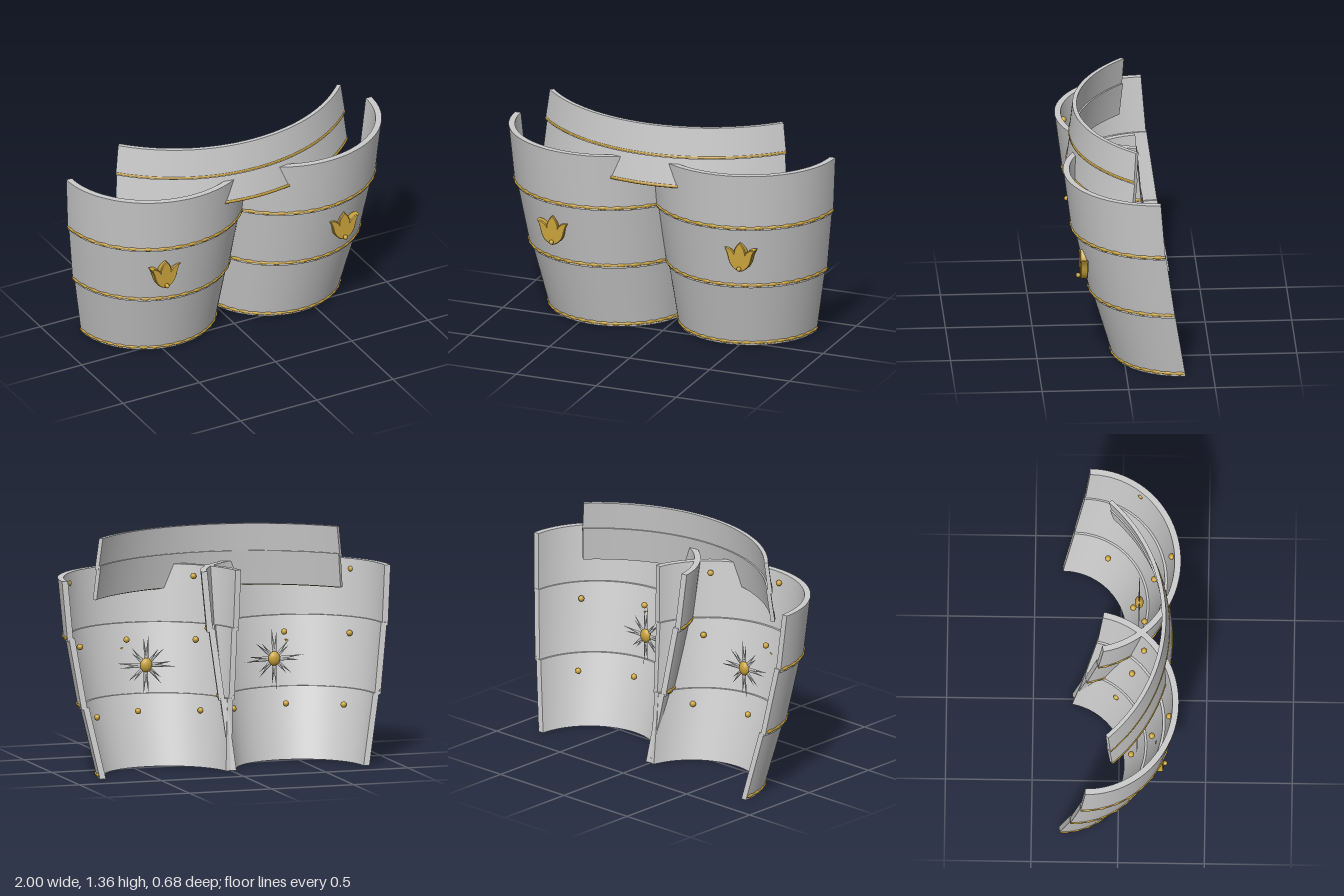
import * as THREE from 'three';
import { toCreasedNormals } from 'three/addons/utils/BufferGeometryUtils.js';

const STEEL = new THREE.MeshStandardMaterial({ color: 0xcccccc });
const GOLD = new THREE.MeshStandardMaterial({ color: 0xc9a23a });

function add(parent, name, geometry, material, x = 0, y = 0, z = 0) {
  const mesh = new THREE.Mesh(geometry, material);
  mesh.name = name;
  mesh.position.set(x, y, z);
  parent.add(mesh);
  return mesh;
}

// A ring is an ellipse at height y; inset shrinks it towards its centre
const onRing = (r, a, inset = 0) => new THREE.Vector3(
  r.cx + (r.rx - inset) * Math.cos(a), r.y, r.cz + (r.rz - inset) * Math.sin(a));

// Ring from its extents: inner x, outer x, back z, front z
const ring = (y, x0, x1, back, front) => ({
  y, cx: (x0 + x1) / 2, rx: (x1 - x0) / 2, cz: back, rz: front - back });

const mix = (a, b, t) => Object.fromEntries(Object.keys(a).map(k => [k, a[k] + (b[k] - a[k]) * t]));

// Curved plate of even thickness between two rings, closed at both ends
function plate(low, high, a0, a1, thick, steps = 48) {
  const pos = [], idx = [];
  for (let i = 0; i <= steps; i++) {
    const a = a0 + (a1 - a0) * i / steps;
    for (const p of [onRing(low, a), onRing(high, a), onRing(high, a, thick), onRing(low, a, thick)])
      pos.push(p.x, p.y, p.z);
    if (i === steps) break;
    for (let j = 0; j < 4; j++) {
      const p = i * 4 + j, q = i * 4 + (j + 1) % 4;
      idx.push(p, q, p + 4, q, q + 4, p + 4);
    }
  }
  const e = steps * 4;
  idx.push(0, 2, 1, 0, 3, 2, e, e + 1, e + 2, e, e + 2, e + 3);
  const g = new THREE.BufferGeometry();
  g.setAttribute('position', new THREE.Float32BufferAttribute(pos, 3));
  g.setIndex(idx);
  return toCreasedNormals(g, 0.6);
}

// Gold cord along a ring, with optional long beads
function trim(parent, name, r, a0, a1, inset, radius, beads = 0) {
  const at = t => onRing(r, a0 + (a1 - a0) * t, inset);
  const pts = Array.from({ length: 33 }, (_, i) => at(i / 32));
  add(parent, name, new THREE.TubeGeometry(new THREE.CatmullRomCurve3(pts), 64, radius, 6), GOLD);
  const bead = new THREE.SphereGeometry(1, 8, 6);
  for (let i = 0; i < beads; i++) {
    const t = (i + 0.5) / beads;
    const p = at(t), d = at(t + 0.01).sub(at(t - 0.01));
    const m = add(parent, name + 'Bead', bead, GOLD, p.x, p.y, p.z);
    m.scale.set(0.033, 0.012, 0.011);
    m.rotation.y = Math.atan2(-d.z, d.x);
  }
}

// Three-petalled flower outline
function flowerGeometry() {
  const s = new THREE.Shape();
  s.moveTo(0, -0.085);
  s.quadraticCurveTo(0.055, -0.07, 0.068, -0.01);
  s.quadraticCurveTo(0.075, 0.03, 0.092, 0.052);
  s.quadraticCurveTo(0.05, 0.05, 0.032, 0.01);
  s.quadraticCurveTo(0.035, 0.05, 0, 0.085);
  s.quadraticCurveTo(-0.035, 0.05, -0.032, 0.01);
  s.quadraticCurveTo(-0.05, 0.05, -0.092, 0.052);
  s.quadraticCurveTo(-0.075, 0.03, -0.068, -0.01);
  s.quadraticCurveTo(-0.055, -0.07, 0, -0.085);
  return new THREE.ExtrudeGeometry(s, {
    depth: 0.035, bevelEnabled: true, bevelSize: 0.004, bevelThickness: 0.005, bevelSegments: 1, curveSegments: 6 });
}

function thighGuard() {
  const g = new THREE.Group();
  const end = THREE.MathUtils.degToRad(170);

  // Three overlapping tiers, each edged with a beaded cord
  const tiers = [
    ['lowerTier', ring(0, -0.01, 0.82, -0.34, 0.065), ring(0.41, -0.045, 0.9, -0.275, 0.185)],
    ['middleTier', ring(0.4, -0.055, 0.91, -0.275, 0.195), ring(0.81, -0.095, 0.968, -0.217, 0.288)],
    ['upperTier', ring(0.79, -0.105, 0.975, -0.215, 0.3), ring(1.14, -0.13, 1, -0.187, 0.345)],
  ];
  for (const [name, low, high] of tiers) {
    add(g, name, plate(low, high, 0, end, 0.036), STEEL);
    trim(g, name + 'Trim', mix(low, high, 0.05), 0, end, 0.003, 0.009, 18);
  }

  // Rivets inside, three to a row
  const rivet = new THREE.SphereGeometry(0.018, 12, 8);
  const rows = [
    [0.32, [0.1, -0.02], [0.45, 0.07], [0.75, -0.08]],
    [0.72, [0.1, 0.07], [0.48, 0.19], [0.82, 0.02]],
    [1.08, [0.09, 0.14], [0.49, 0.29], [0.86, 0.11]],
  ];
  for (const [y, ...spots] of rows)
    for (const [x, z] of spots) add(g, 'rivet', rivet, GOLD, x, y, z);

  // Flower badge on the front with a small bead at its foot
  add(g, 'flowerBadge', flowerGeometry(), GOLD, 0.585, 0.618, 0.218);
  add(g, 'badgeBead', new THREE.SphereGeometry(0.014, 10, 8), GOLD, 0.585, 0.55, 0.268);

  // Spiky star on the inside with a gold boss
  const star = new THREE.Group();
  star.name = 'innerStar';
  star.position.set(0.39, 0.58, 0.105);
  for (let i = 0; i < 8; i++) {
    for (const side of [-1, 1]) {
      const length = (i % 2 ? 0.13 : 0.17) + side * 0.012;
      const spike = new THREE.ConeGeometry(0.013, length, 4).translate(0, length / 2, 0);
      const m = add(star, 'starSpike', spike, STEEL);
      m.scale.z = 0.4;
      m.rotation.z = i * Math.PI / 4 + side * 0.09;
    }
  }
  add(star, 'starBoss', new THREE.SphereGeometry(1, 16, 10), GOLD).scale.set(0.036, 0.042, 0.025);
  g.add(star);
  return g;
}

function waistBelt() {
  const g = new THREE.Group();
  g.name = 'waistBelt';
  const a0 = Math.PI / 2 - 0.83, a1 = Math.PI / 2 + 0.83;
  const arc = (y, r, front) => ({ y, cx: 0, cz: front - r, rx: r, rz: r });
  const lowA = arc(1.0, 1.03, 0.303), lowB = arc(1.2, 1.005, 0.275);
  const upA = arc(1.175, 1.02, 0.287), upB = arc(1.36, 0.99, 0.265);
  add(g, 'lowerBeltPlate', plate(lowA, lowB, a0, a1, 0.024), STEEL);
  add(g, 'upperBeltPlate', plate(upA, upB, a0, a1, 0.024), STEEL);
  trim(g, 'lowerBeltTrim', mix(lowA, lowB, 0.04), a0, a1, 0.008, 0.013);
  trim(g, 'upperBeltTrim', mix(upA, upB, 0.06), a0, a1, 0.006, 0.01);
  return g;
}

export function createModel() {
  const model = new THREE.Group();
  const left = thighGuard();
  left.name = 'leftThighGuard';
  const right = thighGuard();
  right.name = 'rightThighGuard';
  right.scale.x = -1;
  model.add(left, right, waistBelt());
  return model;
}
